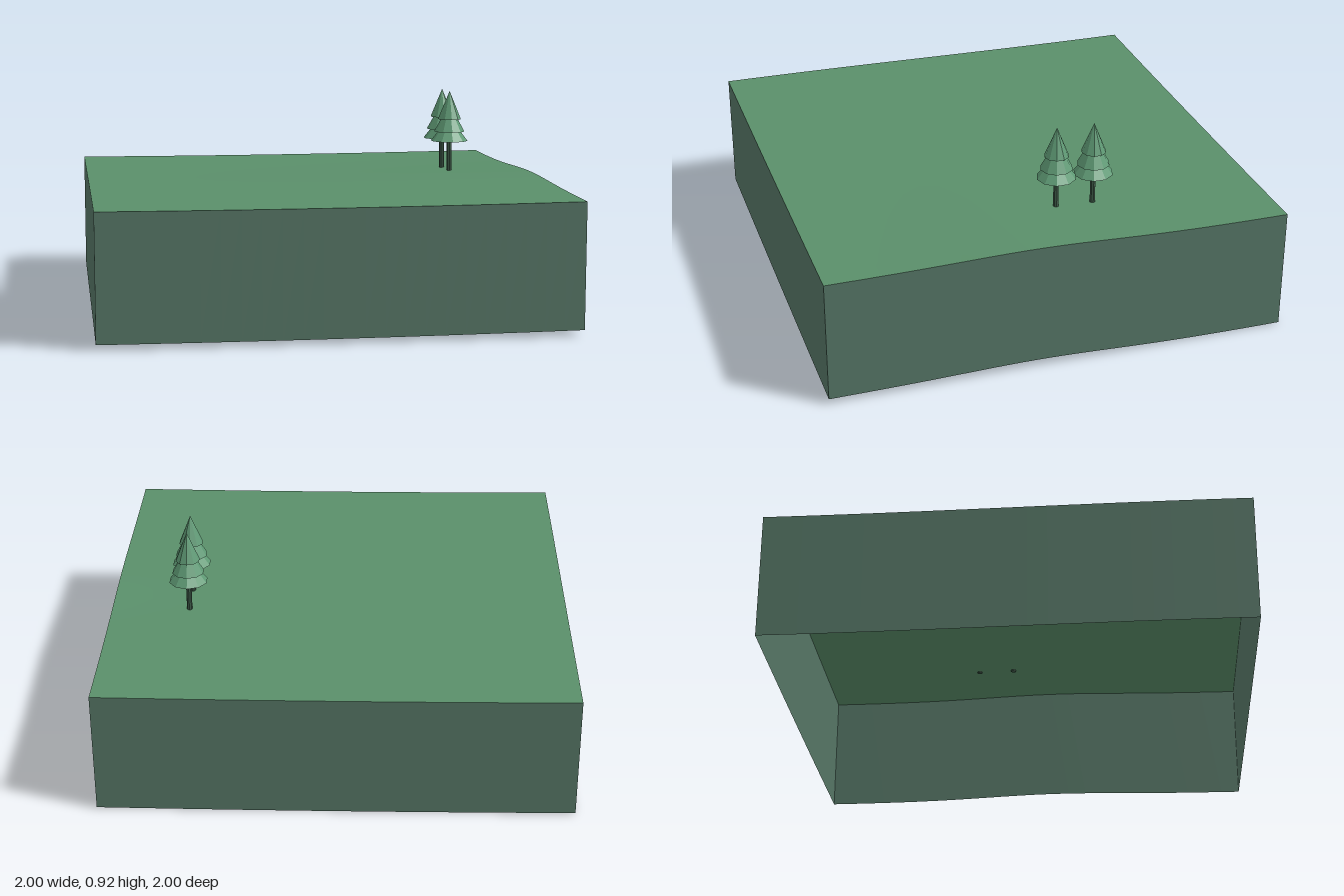
import * as THREE from 'three';

const DEPTH = 0.534;

// Gentle rolling height of the ground
function height(x, z) {
  const slope = 0.549 + 0.01 * Math.sin(z * Math.PI / 2);
  const hill = 0.018 * Math.exp(-(((z - 0.08) / 0.45) ** 2)) * ((x + 1) / 2) ** 1.3;
  return slope + hill - 0.005 * (1 - x * x);
}

export function createModel() {
  const model = new THREE.Group();
  const ground = new THREE.MeshStandardMaterial({ name: 'grass green', color: 0x5a8f6a, side: THREE.DoubleSide });
  const sides = new THREE.MeshStandardMaterial({ name: 'earth grey green', color: 0x557565, side: THREE.DoubleSide });
  const foliage = new THREE.MeshStandardMaterial({ name: 'foliage green', color: 0x5f9a75, flatShading: true });
  const bark = new THREE.MeshStandardMaterial({ name: 'dark bark', color: 0x3f5a49, flatShading: true });

  const add = (parent, geometry, material, name, y = 0) => {
    const mesh = new THREE.Mesh(geometry, material);
    mesh.name = name;
    mesh.position.y = y;
    parent.add(mesh);
    return mesh;
  };

  // Terrain surface
  const top = new THREE.PlaneGeometry(2, 2, 24, 24).rotateX(-Math.PI / 2);
  const p = top.attributes.position;
  for (let i = 0; i < p.count; i++) p.setY(i, height(p.getX(i), p.getZ(i)));
  top.computeVertexNormals();
  add(model, top, ground, 'terrain');

  // Skirt walls follow the terrain edge; the underside stays open
  ['front', 'left', 'back', 'right'].forEach((side, k) => {
    const wall = new THREE.PlaneGeometry(2, 1, 24, 1).translate(0, 0, 1).rotateY(k * Math.PI / 2);
    const w = wall.attributes.position;
    for (let i = 0; i < w.count; i++) {
      const h = height(w.getX(i), w.getZ(i));
      w.setY(i, w.getY(i) > 0 ? h : h - DEPTH);
    }
    wall.computeVertexNormals();
    add(model, wall, sides, side + 'Wall');
  });

  // Two pines, each a thin trunk with three stacked cones
  const tiers = [
    { radius: 0.085, base: 0.695, tip: 0.805 },
    { radius: 0.07, base: 0.738, tip: 0.865 },
    { radius: 0.053, base: 0.795, tip: 0.925 },
  ];
  [-0.085, -0.25].forEach((z, i) => {
    const tree = new THREE.Group();
    tree.name = 'pineTree' + (i + 1);
    tree.position.set(0.66, -0.004 * i, z);
    add(tree, new THREE.CylinderGeometry(0.012, 0.012, 0.16, 8), bark, 'trunk', 0.63);
    tiers.forEach(({ radius, base, tip }, t) =>
      add(tree, new THREE.ConeGeometry(radius, tip - base, 10), foliage, 'foliageTier' + (t + 1), (base + tip) / 2));
    model.add(tree);
  });

  return model;
}
